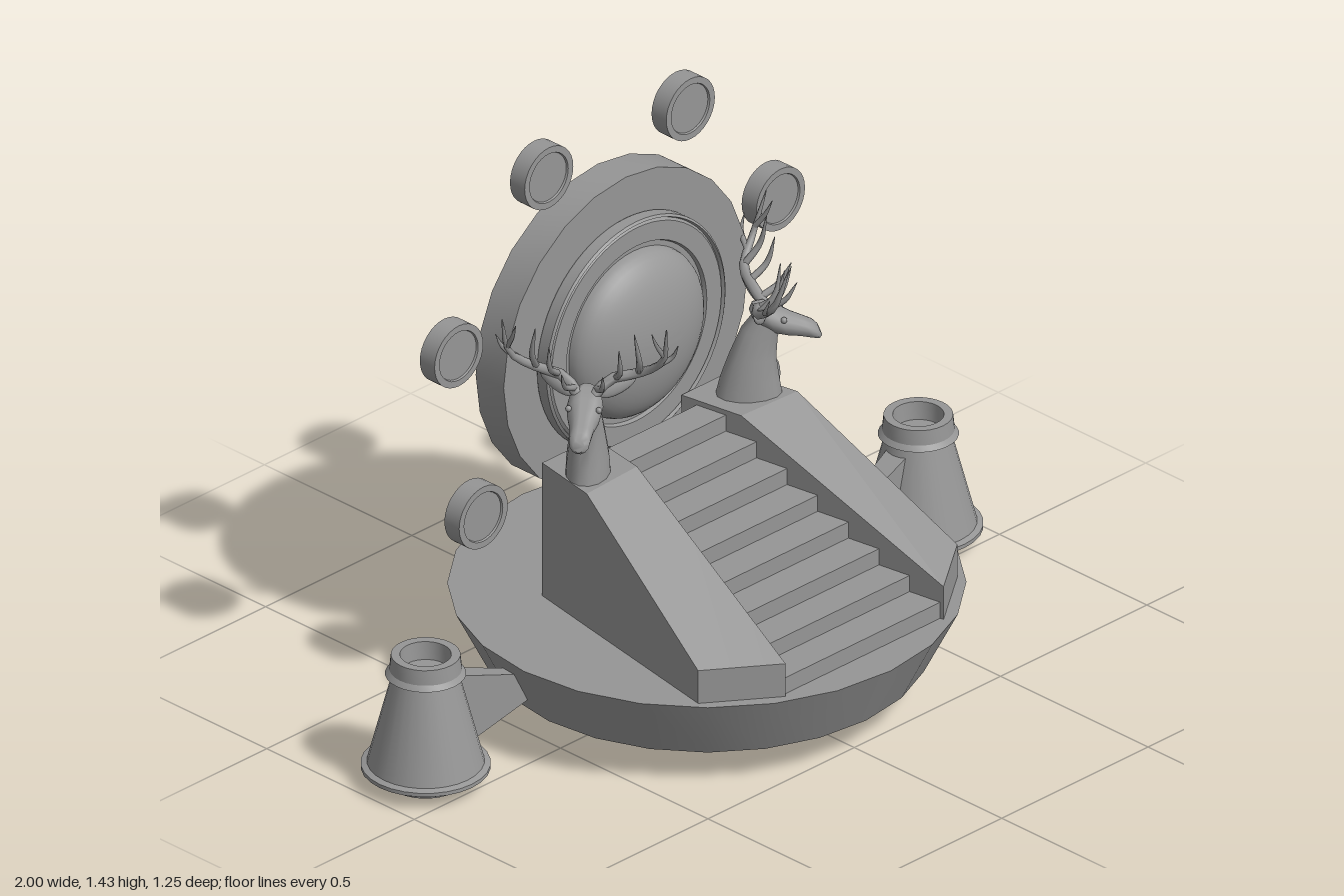
import * as THREE from 'three';
import { toCreasedNormals, mergeGeometries } from 'three/addons/utils/BufferGeometryUtils.js';

const material = new THREE.MeshStandardMaterial({ color: 0x969696 });
const V = (x, y, z) => new THREE.Vector3(x, y, z);

function add(parent, name, geometry, x = 0, y = 0, z = 0) {
  const mesh = new THREE.Mesh(geometry, material);
  mesh.name = name;
  mesh.position.set(x, y, z);
  parent.add(mesh);
  return mesh;
}

// Turned part around y; the profile runs from bottom to top
function lathe(profile, sides) {
  const points = profile.map(([r, y]) => new THREE.Vector2(r, y));
  return toCreasedNormals(new THREE.LatheGeometry(points, sides), 0.5);
}

// Skin over a row of equal-length rings, closed at both ends
function loft(rings, crease) {
  const n = rings[0].length, pos = [], index = [];
  rings.flat().forEach((p) => pos.push(p.x, p.y, p.z));
  for (let i = 0; i < rings.length - 1; i++) {
    for (let j = 0; j < n; j++) {
      const a = i * n + j, b = i * n + (j + 1) % n;
      index.push(a, b, b + n, a, b + n, a + n);
    }
  }
  const last = (rings.length - 1) * n;
  for (let j = 1; j < n - 1; j++) index.push(0, j + 1, j, last, last + j, last + j + 1);
  const g = new THREE.BufferGeometry();
  g.setAttribute('position', new THREE.Float32BufferAttribute(pos, 3));
  g.setIndex(index);
  return toCreasedNormals(g, crease);
}

// Elliptical loft in the yz plane; section = [y, z, half width, half depth, tilt]
function body(sections) {
  return loft(sections.map(([y, z, w, d, tilt]) => {
    const ring = [];
    for (let j = 0; j < 14; j++) {
      const a = j / 14 * Math.PI * 2, v = d * Math.sin(a);
      ring.push(V(w * Math.cos(a), y + v * Math.sin(tilt), z - v * Math.cos(tilt)));
    }
    return ring;
  }), 1);
}

// Tube that narrows towards its end
function horn(points, r) {
  const seg = 10, path = new THREE.CatmullRomCurve3(points);
  const g = new THREE.TubeGeometry(path, seg, r, 6);
  const pos = g.attributes.position, p = V(0, 0, 0);
  for (let i = 0; i < pos.count; i++) {
    const t = Math.floor(i / 7) / seg;
    p.fromBufferAttribute(pos, i).lerp(path.getPointAt(t), 0.9 * t * t);
    pos.setXYZ(i, p.x, p.y, p.z);
  }
  return g;
}

// Stag bust facing +z
function createStag() {
  const stag = new THREE.Group();
  stag.name = 'stagBust';
  add(stag, 'neck', body([
    [0, 0, 0.055, 0.082, 0], [0.05, 0.002, 0.052, 0.072, 0], [0.11, 0.01, 0.044, 0.057, 0.1],
    [0.17, 0.026, 0.037, 0.046, 0.3], [0.215, 0.05, 0.032, 0.035, 0.5],
  ]));
  add(stag, 'head', body([
    [0.22, 0.005, 0.012, 0.014, 1.2], [0.218, 0.02, 0.034, 0.034, 1.2], [0.21, 0.05, 0.044, 0.046, 1.2],
    [0.199, 0.08, 0.041, 0.043, 1.2], [0.186, 0.112, 0.031, 0.035, 1.2], [0.175, 0.142, 0.027, 0.031, 1.2],
    [0.168, 0.162, 0.025, 0.027, 1.2], [0.165, 0.172, 0.014, 0.016, 1.2],
  ]));
  for (const s of [-1, 1]) {
    add(stag, 'eye', new THREE.SphereGeometry(0.008, 10, 8), s * 0.037, 0.216, 0.08);
    const ear = new THREE.SphereGeometry(1, 12, 8).scale(0.019, 0.05, 0.009);
    add(stag, 'ear', ear, s * 0.075, 0.25, 0.015).rotation.set(-0.2, s * 0.3, -s * 1.05);
    // Main beam followed by its tines
    const branches = [
      [0.014, [0.02, 0.235, 0.04], [0.055, 0.268, 0.015], [0.125, 0.285, 0.005], [0.185, 0.335, 0.035], [0.2, 0.445, 0.07]],
      [0.009, [0.028, 0.25, 0.035], [0.045, 0.275, 0.08], [0.05, 0.325, 0.11]],
      [0.009, [0.07, 0.273, 0.012], [0.085, 0.31, 0.055], [0.085, 0.38, 0.075]],
      [0.009, [0.125, 0.287, 0.006], [0.13, 0.34, 0.045], [0.12, 0.42, 0.06]],
      [0.008, [0.16, 0.31, 0.018], [0.205, 0.335, 0.01], [0.222, 0.375, 0.02]],
      [0.007, [0.19, 0.355, 0.042], [0.175, 0.395, 0.065], [0.165, 0.435, 0.08]],
    ];
    add(stag, 'antler', mergeGeometries(branches.map(([r, ...pts]) =>
      horn(pts.map(([x, y, z]) => V(s * x, y, z)), r))));
  }
  return stag;
}

export function createModel() {
  const model = new THREE.Group();
  model.name = 'stagePlatform';

  // Round base with a stepped underside
  add(model, 'base', lathe([[0, 0.15], [0.33, 0.15], [0.335, 0.125], [0.46, 0.125], [0.5, 0.09],
    [0.54, 0.09], [0.625, 0.26], [0, 0.26]], 24));

  // Tapered staircase, set in from the back of the walls
  const halfWidth = (z) => 0.16 + (z + 0.235) * 0.15;
  const stairs = new THREE.Group();
  stairs.name = 'stairs';
  model.add(stairs);
  const stairBack = -0.19;
  for (let i = 0; i < 8; i++) {
    const z = 0.525 - i * 0.09, y = 0.25 + i * 0.044;
    const wf = halfWidth(z), wb = halfWidth(stairBack);
    const plan = new THREE.Shape([[-wf, -z], [wf, -z], [wb, -stairBack], [-wb, -stairBack]]
      .map(([px, py]) => new THREE.Vector2(px, py)));
    const step = new THREE.ExtrudeGeometry(plan, { depth: 0.054, bevelEnabled: false });
    add(stairs, 'step', step.rotateX(-Math.PI / 2), 0, y, 0);
  }

  // Portal disc, raised ring with a fine groove, and dome, turned around z
  const face = (profile, sides) => lathe(profile, sides).rotateX(Math.PI / 2);
  add(model, 'portalDisc', face([[0, -0.37], [0.417, -0.37], [0.417, -0.275], [0, -0.275]], 24), 0, 0.85, 0);
  add(model, 'portalRing', face([[0.3, -0.28], [0.306, -0.27], [0.306, -0.24], [0.3, -0.235], [0.296, -0.244],
    [0.29, -0.238], [0.24, -0.238], [0.236, -0.248], [0, -0.248]], 64), 0, 0.852, 0);
  const dome = [];
  for (let i = 0; i <= 12; i++) {
    const a = i / 12 * Math.PI / 2;
    dome.push([0.222 * Math.cos(a), -0.25 + 0.098 * Math.sin(a)]);
  }
  add(model, 'portalDome', face(dome, 48), 0, 0.853, 0);

  // Small floating discs, dished on both faces
  const medallion = face([[0, -0.02], [0.064, -0.02], [0.066, -0.025], [0.083, -0.025], [0.083, 0.025],
    [0.066, 0.025], [0.064, 0.02], [0, 0.02]], 32);

  // Side pod with hollow top and bottom
  const pod = lathe([[0, 0.02], [0.068, 0.02], [0.072, 0], [0.092, 0], [0.095, 0.02], [0.122, 0.02], [0.126, 0.04],
    [0.157, 0.04], [0.157, 0.05], [0.142, 0.055], [0.08, 0.295], [0.098, 0.295], [0.088, 0.308], [0.084, 0.347],
    [0.062, 0.347], [0.058, 0.3], [0, 0.3]], 28);

  for (const s of [-1, 1]) {
    const order = (ring) => (s > 0 ? ring : ring.reverse());

    // Sloping side wall: front, crest and back sections
    const wall = [[0.443, 0.41, 0.27, 0.535, 0.35], [0.36, -0.05, 0.178, -0.06, 0.625],
      [0.326, -0.235, 0.15, -0.235, 0.625]];
    add(model, 'stairWall', loft(wall.map(([xo, zo, xi, zi, top]) => order([
      V(s * xo, 0.25, zo), V(s * xi, 0.25, zi), V(s * xi, top, zi), V(s * xo, top, zo)])), 0.35));

    for (const [x, y] of [[0.242, 1.352], [0.55, 0.983], [0.466, 0.507]]) {
      add(model, 'floatingDisc', medallion, s * x, y, -0.32);
    }

    add(model, 'sidePod', pod, s * 0.842, 0, -0.118);

    // Strut from base to pod, taller at the pod
    const strut = [[0.55, 0.13, 0.2, -0.1, -0.06], [0.78, 0.06, 0.275, -0.15, -0.085]];
    add(model, 'strut', loft(strut.map(([x, lo, hi, z0, z1]) => order([
      V(s * x, lo, z0), V(s * x, hi, z0), V(s * x, hi, z1), V(s * x, lo, z1)])), 0.1));

    const stag = createStag();
    stag.position.set(s * 0.275, 0.62, -0.13);
    stag.rotation.y = s * 0.92;
    model.add(stag);
  }
  return model;
}
